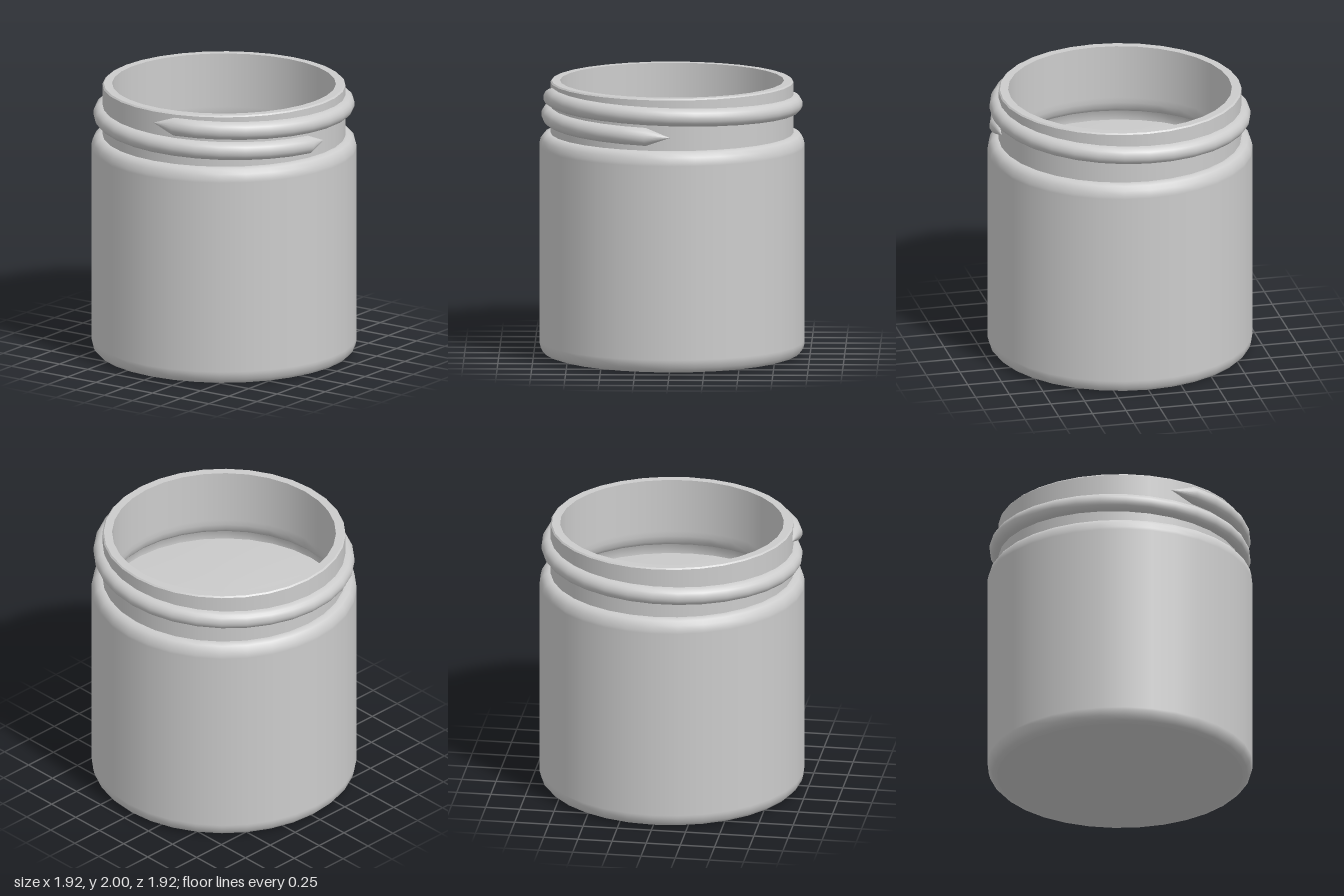
import * as THREE from 'three';

const SEGMENTS = 32;
const NECK_R = 0.88;

export function createModel() {
  const jar = new THREE.Group();
  jar.name = 'jar';
  const grey = new THREE.MeshStandardMaterial({ color: 0xcccccc });
  grey.name = 'light grey';

  const add = (name, geometry) => {
    const mesh = new THREE.Mesh(geometry, grey);
    mesh.name = name;
    jar.add(mesh);
  };
  // Profiles run up the outside and down the inside; each part ends at a sharp edge
  const turn = (name, profile) =>
    add(name, new THREE.LatheGeometry(profile.map(([r, y]) => new THREE.Vector2(r, y)), SEGMENTS));

  turn('base', [[0, 0], [0.89, 0]]);
  turn('body', [
    [0.89, 0], [0.925, 0.012], [0.95, 0.04], [0.96, 0.08], [0.96, 0.1],
    [0.96, 1.52], [0.96, 1.54], [0.95, 1.58], [0.927, 1.608], [0.9, 1.62], [NECK_R, 1.62],
  ]);
  turn('neck', [[NECK_R, 1.62], [NECK_R, 1.99]]);
  turn('rimBevel', [[NECK_R, 1.99], [0.87, 2]]);
  turn('rim', [[0.87, 2], [0.81, 2]]);
  // Inner wall widens below the neck
  turn('innerWall', [
    [0.81, 2], [0.81, 1.6], [0.81, 1.56], [0.82, 1.515], [0.845, 1.485], [0.88, 1.47], [0.88, 1.4],
  ]);
  turn('contents', [[0.88, 1.4], [0.65, 1.42], [0.4, 1.435], [0.2, 1.445], [0, 1.45]]);

  // Small peak in the middle of the contents
  const peak = new THREE.ConeGeometry(0.02, 0.03, 8);
  peak.translate(0, 1.46, 0);
  add('contentsPeak', peak);

  add('screwThread', threadGeometry());
  return jar;
}

// Half-round ridge winding down the neck for one and a quarter turns, pointed at both ends
function threadGeometry() {
  const steps = SEGMENTS * 1.25, sides = 10, size = 0.066;
  const positions = [], index = [];
  for (let i = 0; i <= steps; i++) {
    const theta = (i / SEGMENTS) * Math.PI * 2;
    const centreY = 1.906 - 0.152 * (i / SEGMENTS);
    const s = i === 0 || i === steps ? 0.001 : size;
    for (let j = 0; j <= sides; j++) {
      const phi = -Math.PI / 2 + (Math.PI * j) / sides;
      const r = NECK_R + s * Math.cos(phi);
      positions.push(r * Math.sin(theta), centreY + s * Math.sin(phi), r * Math.cos(theta));
      if (i < steps && j < sides) {
        const a = i * (sides + 1) + j, b = a + sides + 1;
        index.push(a, b, a + 1, b, b + 1, a + 1);
      }
    }
  }
  const geometry = new THREE.BufferGeometry();
  geometry.setAttribute('position', new THREE.Float32BufferAttribute(positions, 3));
  geometry.setIndex(index);
  geometry.computeVertexNormals();
  return geometry;
}
